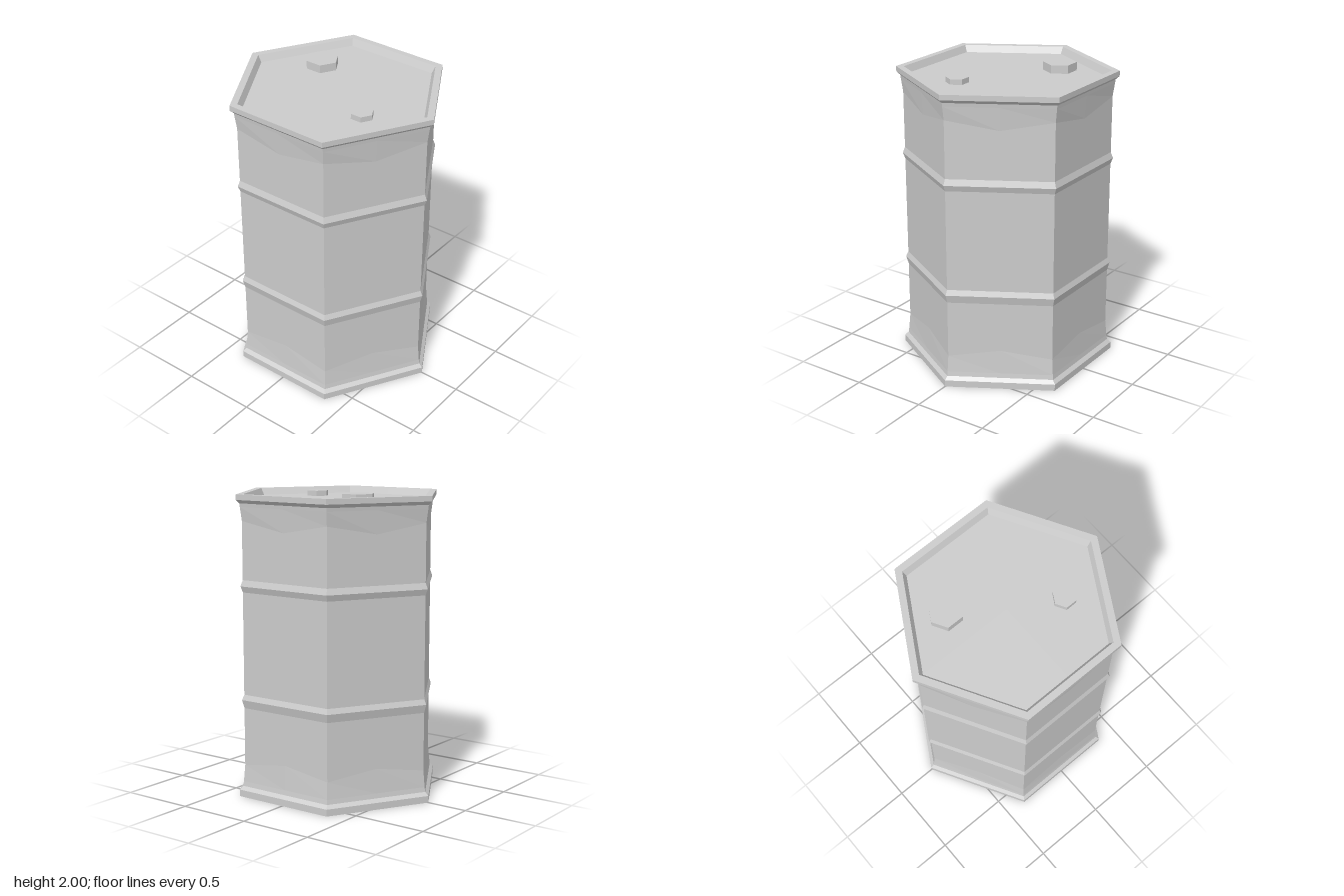
import * as THREE from 'three';

const grey = new THREE.MeshStandardMaterial({ color: 0xcccccc, flatShading: true });

// Six-sided shell: 12 lathe steps, every second one pulled in to the middle of a flat side
function hexShell(profile, wave = {}) {
  const pts = profile.map(([r, y]) => new THREE.Vector2(r, y));
  const geo = new THREE.LatheGeometry(pts, 12, Math.PI / 2);
  const pos = geo.attributes.position;
  const n = pts.length;
  const flat = Math.cos(Math.PI / 6);
  for (let i = 0; i < pos.count; i++) {
    const step = Math.floor(i / n), row = i % n;
    const mid = step % 2 === 1;
    if (mid) {
      pos.setX(i, pos.getX(i) * flat);
      pos.setZ(i, pos.getZ(i) * flat);
    }
    // uneven lower edge of the flares
    if (wave[row]) pos.setY(i, pos.getY(i) + (mid ? wave[row] : 0));
  }
  geo.computeVertexNormals();
  return geo;
}

export function createModel() {
  const model = new THREE.Group();
  model.name = 'barrel';

  const add = (name, geo, x = 0, y = 0, z = 0) => {
    const mesh = new THREE.Mesh(geo, grey);
    mesh.name = name;
    mesh.position.set(x, y, z);
    model.add(mesh);
  };

  // Bottom rim with recessed base
  add('bottomRim', hexShell([
    [0, 0.045], [0.645, 0.045], [0.67, 0], [0.72, 0], [0.72, 0.045], [0.695, 0.068],
  ]));

  // Wall with flared ends and two raised ribs
  add('wall', hexShell([
    [0.695, 0.068], [0.69, 0.1], [0.679, 0.21],
    [0.679, 0.595], [0.695, 0.65], [0.679, 0.685],
    [0.679, 1.36], [0.695, 1.4], [0.679, 1.44],
    [0.679, 1.82], [0.692, 1.91], [0.695, 1.933],
  ], { 2: 0.05, 9: -0.06 }));

  // Top rim with recessed lid
  add('topRim', hexShell([
    [0.695, 1.933], [0.72, 1.955], [0.72, 1.99], [0.67, 1.99], [0.645, 1.945], [0, 1.945],
  ]));

  // Hexagonal bungs on the lid
  for (const [name, r, top, x, z] of [
    ['largeBung', 0.11, 2.0, -0.3, -0.21],
    ['smallBung', 0.075, 1.98, 0.31, 0.17],
  ]) {
    const h = top - 1.94;
    add(name, new THREE.CylinderGeometry(r, r, h, 6, 1, false, Math.PI / 2), x, top - h / 2, z);
  }

  return model;
}
